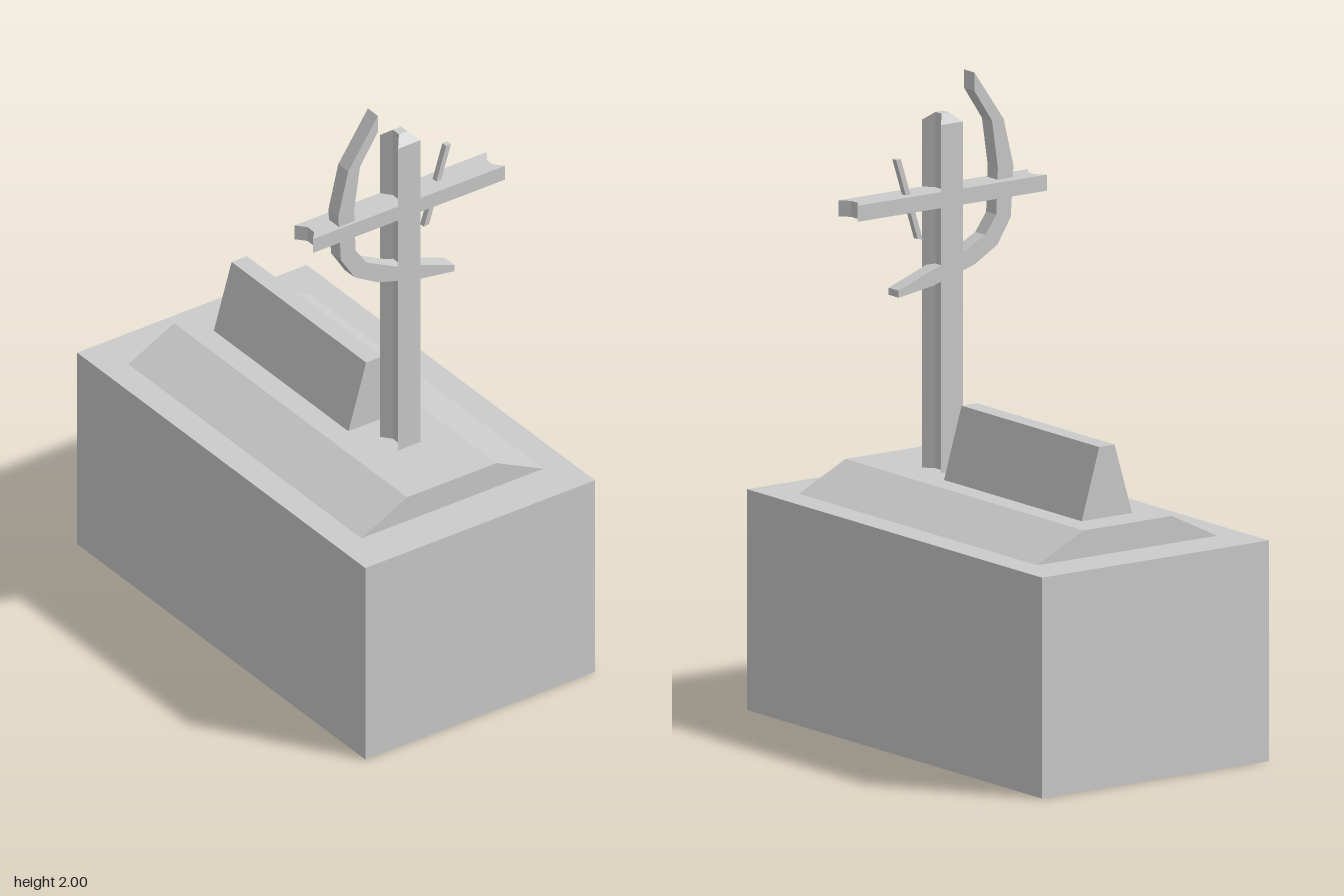
import * as THREE from 'three';

const material = new THREE.MeshStandardMaterial({ color: 0xcccccc, flatShading: true });

// Prism from an outline in the x-y plane, running from z0 to z1
function prism(points, z0, z1) {
  const shape = new THREE.Shape(points.map(([x, y]) => new THREE.Vector2(x, y)));
  return new THREE.ExtrudeGeometry(shape, { depth: z1 - z0, bevelEnabled: false }).translate(0, 0, z0);
}

// Upright prism with a plan outline (x, z), running from y0 to y1
function upright(plan, y0, y1) {
  return prism(plan.map(([x, z]) => [x, -z]), y0, y1).rotateX(-Math.PI / 2);
}

// Plan of a bar whose two ends are notched inwards
function notchedPlan(x0, x1, z0, z1, notch, slant) {
  return [
    [x0, z0], [x0 + notch, z0 + slant], [x0 + notch, z1 - slant], [x0, z1],
    [x1, z1], [x1 - notch, z1 - slant], [x1 - notch, z0 + slant], [x1, z0],
  ];
}

export function createModel() {
  const group = new THREE.Group();
  const add = (name, geometry) => {
    const mesh = new THREE.Mesh(geometry, material);
    mesh.name = name;
    group.add(mesh);
  };

  // Plinth, sloped slab and ridge block
  add('plinth', new THREE.BoxGeometry(0.86, 0.69, 1.51).translate(0, 0.345, 0));
  add('slopedSlab', prism([[-0.345, 0.688], [0.345, 0.688], [0.165, 0.775], [-0.17, 0.775]], -0.61, 0.61));
  add('ridgeBlock', prism([[-0.097, 0.773], [0.095, 0.773], [0.028, 0.998], [-0.03, 0.998]], -0.505, 0.2));

  // Post with channelled sides; the top rises to a small flat in the middle
  const post = upright(notchedPlan(-0.037, 0.046, 0.281, 0.377, 0.026, 0.032), 0.77, 1.862);
  add('post', post);
  const cap = [];
  const rows = [[-0.037, 0.046, 1.862, 0.377], [-0.011, 0.02, 1.888, 0.345],
    [-0.011, 0.02, 1.888, 0.313], [-0.037, 0.046, 1.862, 0.281]];
  for (let i = 0; i < 3; i++) {
    const [a0, a1, ay, az] = rows[i], [b0, b1, by, bz] = rows[i + 1];
    cap.push(a0, ay, az, a1, ay, az, b1, by, bz, a0, ay, az, b1, by, bz, b0, by, bz);
  }
  // Side walls of the cap, closing it down to the post
  for (const side of [0, 1]) {
    for (let i = 0; i < 3; i++) {
      const a = rows[i], b = rows[i + 1];
      const p = [a[side], a[2], a[3]], q = [b[side], b[2], b[3]];
      const r = [b[side], 1.862, b[3]], s = [a[side], 1.862, a[3]];
      cap.push(...(side ? [s, r, q, s, q, p] : [s, q, r, s, p, q]).flat());
    }
  }
  const capGeometry = new THREE.BufferGeometry();
  capGeometry.setAttribute('position', new THREE.Float32BufferAttribute(cap, 3));
  capGeometry.computeVertexNormals();
  add('postCap', capGeometry);

  // Crossbar with notched ends
  add('crossbar', upright(notchedPlan(-0.355, 0.364, 0.28, 0.376, 0.026, 0.03), 1.603, 1.653));

  // Curved blade: outer edge down, inner edge back up
  add('curvedBlade', prism([
    [-0.105, 2], [-0.216, 1.84], [-0.253, 1.69], [-0.243, 1.53], [-0.192, 1.45],
    [-0.105, 1.4], [0.05, 1.355], [0.182, 1.335],
    [0.182, 1.357], [0.045, 1.407], [-0.04, 1.433], [-0.147, 1.487], [-0.188, 1.545],
    [-0.194, 1.69], [-0.172, 1.84], [-0.105, 1.942],
  ], 0.314, 0.366));

  // Thin slanted rod through the crossbar
  add('slantedRod', prism([[0.095, 1.507], [0.114, 1.51], [0.196, 1.768], [0.178, 1.768]], 0.308, 0.328));

  return group;
}
